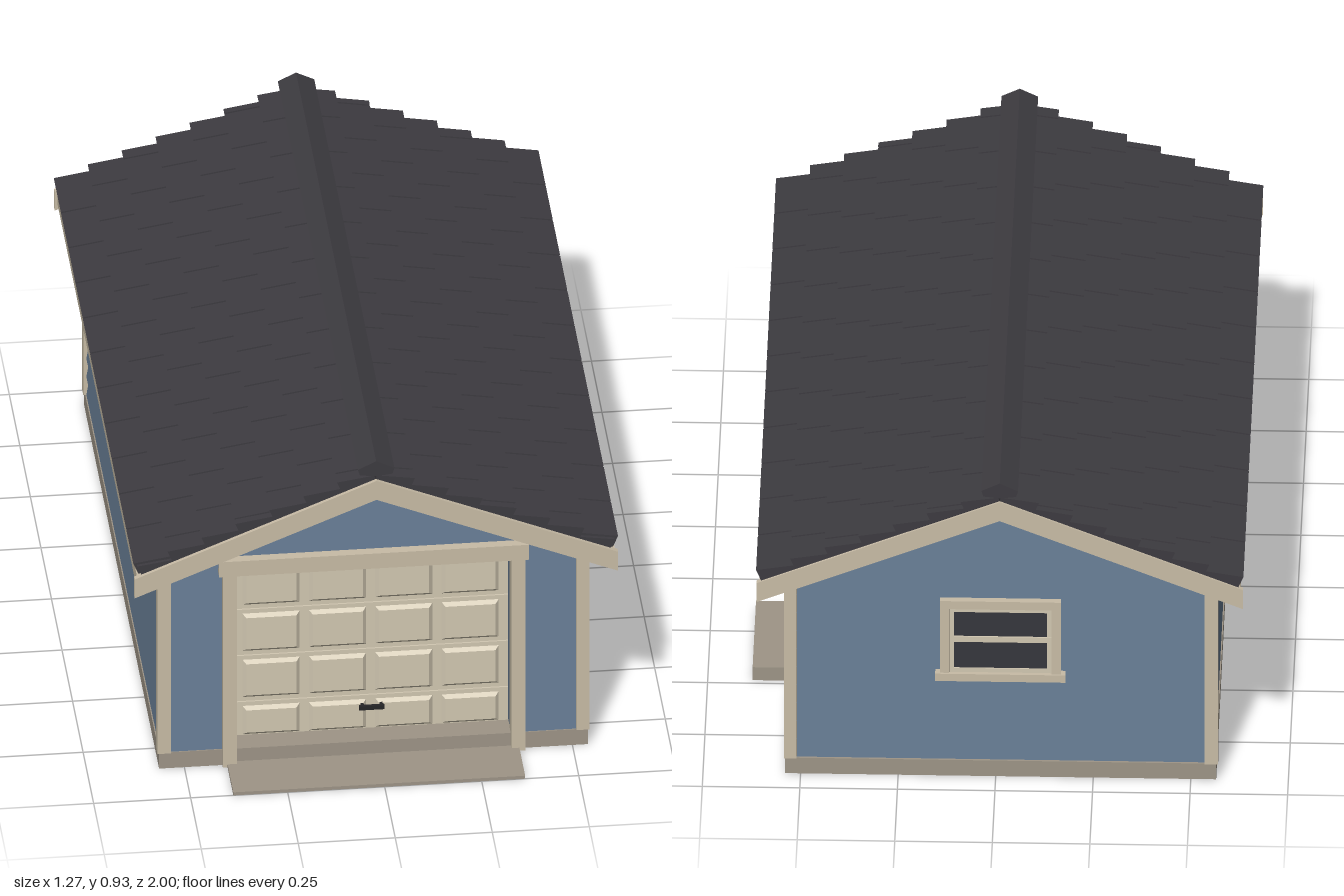
import * as THREE from 'three';
import { mergeGeometries } from 'three/addons/utils/BufferGeometryUtils.js';

const paint = (name, color) => Object.assign(new THREE.MeshStandardMaterial({ color }), { name });

export function createModel() {
  const siding = paint('blue siding', 0x63788f);
  const trim = paint('tan trim', 0xc8bca6);
  const doorPaint = paint('cream door', 0xd2c8b2);
  const concrete = paint('concrete', 0x9e9587);
  const shingle = paint('charcoal shingle', 0x3d3b40);
  const glass = paint('dark glass', 0x36373d);
  const metal = paint('black metal', 0x262527);

  const model = new THREE.Group();
  model.name = 'garage';
  const CX = -0.012, SLOPE = 0.41, APEX = 0.87, UNDER = 0.847;

  const add = (parent, name, geo, mat) => {
    const mesh = new THREE.Mesh(geo, mat);
    mesh.name = name;
    parent.add(mesh);
    return mesh;
  };
  // box from min/max corners
  const span = (x0, x1, y0, y1, z0, z1) =>
    new THREE.BoxGeometry(x1 - x0, y1 - y0, z1 - z0).translate((x0 + x1) / 2, (y0 + y1) / 2, (z0 + z1) / 2);
  // outline in xy pushed from z0 to z1
  const prism = (pts, z0, z1) =>
    new THREE.ExtrudeGeometry(new THREE.Shape(pts.map(p => new THREE.Vector2(...p))), { depth: z1 - z0, bevelEnabled: false })
      .translate(0, 0, z0);
  // panel whose front face is smaller than its back
  const raised = (x0, x1, y0, y1, z0, depth, inset) => {
    const w = x1 - x0, h = y1 - y0;
    const g = new THREE.BoxGeometry(w, h, depth);
    const p = g.attributes.position;
    for (let i = 0; i < p.count; i++) {
      if (p.getZ(i) > 0) p.setXY(i, p.getX(i) * (1 - 2 * inset / w), p.getY(i) * (1 - 2 * inset / h));
    }
    g.computeVertexNormals();
    return g.translate((x0 + x1) / 2, (y0 + y1) / 2, z0 + depth / 2);
  };

  // Slab, ramp and side step
  add(model, 'foundation', span(-0.565, 0.54, 0, 0.047, -0.93, 0.85), concrete);
  add(model, 'ramp', span(-0.39, 0.362, 0, 0.009, 0.84, 1.0), concrete);
  add(model, 'sideStep', span(0.53, 0.635, 0, 0.039, -0.485, -0.165), concrete);

  // Wall core, with a notched slab in front that leaves the door opening
  const xl = -0.55, xr = 0.525, top = x => UNDER - SLOPE * Math.abs(x - CX);
  const roofLine = [[xr, top(xr)], [CX, UNDER], [xl, top(xl)]];
  add(model, 'wallCore', prism([[xl, 0.04], [xr, 0.04], ...roofLine], -0.912, 0.775), siding);
  add(model, 'frontWall', prism([
    [xl, 0.04], [-0.367, 0.04], [-0.367, 0.58], [0.342, 0.58], [0.342, 0.04], [xr, 0.04], ...roofLine,
  ], 0.775, 0.835), siding);

  // Lap siding: local x runs along the wall and local z points outward
  const COURSE = 0.0545;
  const board = (u0, u1, y) =>
    prism([[-0.002, y], [0.012, y], [0.003, y + COURSE], [-0.002, y + COURSE]], 0, u1 - u0)
      .rotateY(-Math.PI / 2).translate(u1, 0, 0);
  const makeWall = (name, pos, turn, spansAt, courses) => {
    const wall = new THREE.Group();
    wall.name = name;
    wall.position.set(...pos);
    wall.rotation.y = turn;
    const boards = [];
    for (let k = 0; k < courses; k++) {
      const y = 0.047 + k * COURSE;
      for (const [a, b] of spansAt(k, y + COURSE)) boards.push(board(a, b, y));
    }
    add(wall, name + 'Boards', mergeGeometries(boards), siding);
    model.add(wall);
    return wall;
  };
  const half = yTop => Math.min(0.53, (UNDER - yTop) / SLOPE);
  makeWall('frontSiding', [CX, 0, 0.835], 0, (k, t) =>
    k < 10 ? [[-0.53, -0.37], [0.37, 0.53]] : [[-half(t), half(t)]], 14);
  const backWall = makeWall('backSiding', [CX, 0, -0.912], Math.PI, (k, t) => [[-half(t), half(t)]], 14);
  const rightWall = makeWall('rightSiding', [xr, 0, 0], Math.PI / 2, () => [[-0.83, 0.19], [0.46, 0.91]], 10);
  const leftWall = makeWall('leftSiding', [xl, 0, 0], -Math.PI / 2, () => [[-0.91, 0.83]], 10);

  // Corner boards
  for (const [x0, x1] of [[-0.57, -0.535], [0.51, 0.543]]) {
    for (const [z0, z1] of [[0.825, 0.855], [-0.934, -0.902]]) {
      add(model, 'cornerBoard', span(x0, x1, 0.047, 0.615, z0, z1), trim);
    }
  }

  // Garage door surround
  add(model, 'doorJambRight', span(-0.402, -0.366, 0, 0.58, 0.825, 0.863), trim);
  add(model, 'doorJambLeft', span(0.341, 0.378, 0, 0.58, 0.825, 0.863), trim);
  add(model, 'doorHeader', span(-0.412, 0.386, 0.577, 0.622, 0.825, 0.868), trim);

  // Sectional garage door with raised panels
  const garageDoor = new THREE.Group();
  garageDoor.name = 'garageDoor';
  model.add(garageDoor);
  const rows = [[0.047, 0.146], [0.149, 0.285], [0.288, 0.424], [0.427, 0.575]];
  rows.forEach(([y0, y1], r) => {
    add(garageDoor, 'doorSection', span(-0.366, 0.341, y0, y1, 0.77, 0.785), doorPaint);
    const p0 = r === 0 ? 0.049 : y0 + 0.012;
    const p1 = r === 3 ? 0.552 : y1 - 0.012;
    for (let c = 0; c < 4; c++) {
      const x = -0.343 + c * 0.171;
      add(garageDoor, 'raisedPanel', raised(x, x + 0.147, p0, p1, 0.785, 0.009, 0.009), doorPaint);
    }
  });
  add(garageDoor, 'handle', span(-0.045, 0.02, 0.116, 0.128, 0.803, 0.811), metal);
  for (const x of [-0.04, 0.009]) add(garageDoor, 'handlePost', span(x, x + 0.008, 0.117, 0.127, 0.785, 0.805), metal);

  // Side entry door (local x is -z)
  const entry = new THREE.Group();
  entry.name = 'entryDoor';
  rightWall.add(entry);
  add(entry, 'doorSlab', span(0.205, 0.443, 0.045, 0.568, -0.01, 0.005), doorPaint);
  for (const [a, b] of [[0.178, 0.205], [0.443, 0.472]]) {
    add(entry, 'doorCasing', span(a, b, 0.039, 0.6, -0.005, 0.019), trim);
  }
  add(entry, 'doorHead', span(0.2, 0.45, 0.585, 0.605, -0.005, 0.019), trim);
  for (const [a, b] of [[0.228, 0.31], [0.338, 0.42]]) {
    for (const [y0, y1] of [[0.08, 0.255], [0.33, 0.545]]) {
      add(entry, 'doorPanel', raised(a, b, y0, y1, 0.005, 0.006, 0.01), doorPaint);
    }
  }
  add(entry, 'knob', new THREE.SphereGeometry(0.011, 12, 8).translate(0.227, 0.305, 0.018), metal);
  for (const y of [0.145, 0.51]) add(entry, 'hinge', span(0.43, 0.443, y - 0.015, y + 0.015, 0.004, 0.012), metal);

  // Windows: casing, sill, dark panes and a bar between two sashes
  const makeWindow = (wall, u, w, y0, y1, upright) => {
    const win = new THREE.Group();
    win.name = 'window';
    win.position.x = u;
    wall.add(win);
    const h = w / 2, t = 0.024, ym = (y0 + y1) / 2;
    add(win, 'pane', span(-h + t, h - t, y0, y1 - t, 0, 0.0135), glass);
    for (const s of [-1, 1]) {
      add(win, 'casing', span(s * (h - t / 2) - t / 2, s * (h - t / 2) + t / 2, y0, y1, 0, 0.022), trim);
      add(win, 'sash', span(s * (h - t - 0.006) - 0.006, s * (h - t - 0.006) + 0.006, y0, y1 - t, 0, 0.017), doorPaint);
    }
    add(win, 'casingHead', span(-h, h, y1 - t, y1, 0, 0.0225), trim);
    add(win, 'sill', span(-h - 0.012, h + 0.012, y0 - 0.004, y0 + 0.018, 0, 0.027), trim);
    for (const y of [y0 + 0.024, y1 - t - 0.006]) {
      add(win, 'sashRail', span(-h + t, h - t, y - 0.006, y + 0.006, 0, 0.0165), doorPaint);
    }
    const bar = upright ? span(-0.008, 0.008, y0, y1 - t, 0, 0.018) : span(-h + t, h - t, ym - 0.008, ym + 0.008, 0, 0.018);
    add(win, 'meetingBar', bar, doorPaint);
  };
  makeWindow(backWall, 0, 0.31, 0.295, 0.53, false);
  makeWindow(leftWall, -0.045, 0.31, 0.295, 0.55, true);

  // Roof deck, rake boards and eave boards
  const Z0 = -0.99, Z1 = 0.905, R = 0.623;
  const chevron = (peak, drop, r) => [
    [CX - r, peak - SLOPE * r], [CX - r, peak - SLOPE * r - drop], [CX, peak - drop],
    [CX + r, peak - SLOPE * r - drop], [CX + r, peak - SLOPE * r], [CX, peak],
  ];
  add(model, 'roofDeck', prism(chevron(APEX, 0.022, R - 0.012), Z0, Z1), trim);
  add(model, 'frontRake', prism(chevron(APEX, 0.057, R), Z1 - 0.005, Z1 + 0.01), trim);
  add(model, 'backRake', prism(chevron(APEX, 0.057, R), Z0 - 0.006, Z0 + 0.008), trim);
  for (const s of [-1, 1]) {
    const x = CX + s * 0.609;
    add(model, 'eaveBoard', span(x - 0.007, x + 0.007, 0.578, 0.617, Z0, Z1), trim);
  }

  // Shingles: overlapping wedge courses with staggered tabs
  const th = Math.atan(SLOPE), cos = Math.cos(th), sin = Math.sin(th);
  const COURSES = 7, L = 0.661, E = L / COURSES, TAB = 0.172, GAP = 0.006;
  for (const s of [-1, 1]) {
    const P = (d, n) => [CX + s * (d * cos + n * sin), APEX - d * sin + n * cos];
    const parts = [];
    for (let i = 0; i < COURSES; i++) {
      const d1 = L - i * E, d0 = Math.max(0, d1 - E - 0.006);
      const wedge = (butt, head, a, b) => prism([P(d0, 0), P(d1 - (0.034 - butt), 0), P(d1 - (0.034 - butt), butt), P(d0, head)], a, b);
      parts.push(wedge(0.027, 0.004, Z0, Z1));
      for (let z = Z0 - TAB * ((i * 0.37) % 1); z < Z1; z += TAB) {
        const a = Math.max(z, Z0), b = Math.min(z + TAB - GAP, Z1);
        if (b - a > 0.01) parts.push(wedge(0.034, 0.011, a, b));
      }
    }
    add(model, s > 0 ? 'leftShingles' : 'rightShingles', mergeGeometries(parts), shingle);
  }
  add(model, 'ridgeCap', prism([
    [CX - 0.047, 0.902], [CX - 0.042, 0.885], [CX, 0.88], [CX + 0.042, 0.885], [CX + 0.047, 0.902], [CX, 0.925],
  ], Z0 - 0.003, Z1 + 0.003), shingle);

  return model;
}
